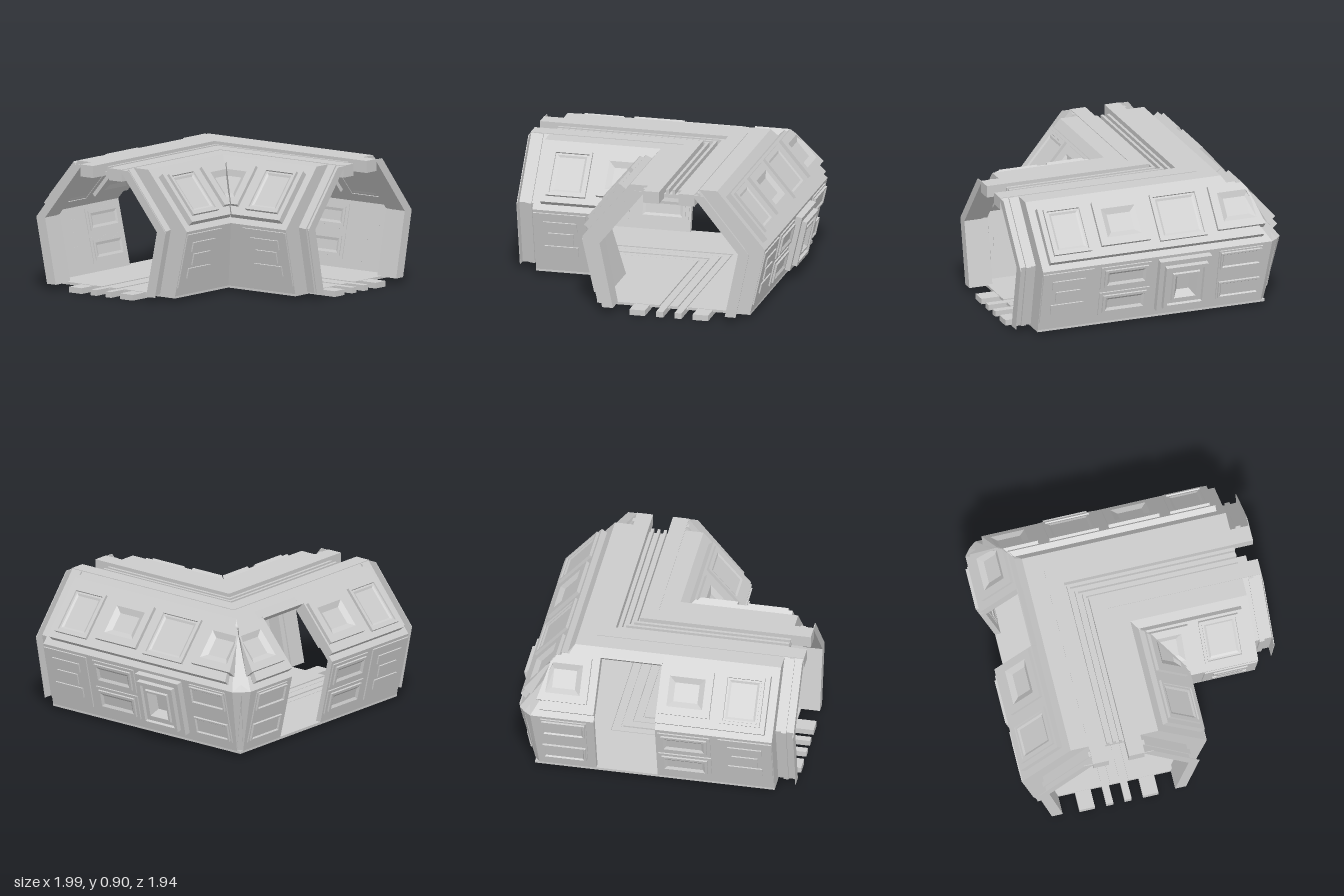
import * as THREE from 'three';

const CX = 0.27, CZ = -0.3;          // where the two corridor centrelines meet
const WALL = 1.095, END = 1.135, TIP = 1.27; // wall, bulkhead and frame ends along an arm
const DOOR = [-0.115, 0.315];        // doorway in the back wall
const mat = new THREE.MeshStandardMaterial({ color: 0xcccccc, flatShading: true, side: THREE.DoubleSide });

// Half cross-sections as [offset from centreline, height]
const OUT = [[0.545, 0.04], [0.65, 0.5], [0.31, 0.9]];      // outer wall surface
const SKIN = [[0.505, 0.04], [0.61, 0.5], [0.295, 0.865]];  // inner wall surface
const FRAME = [[0.41, 0.04], [0.505, 0.5], [0.18, 0.9]];    // opening of the end frames
const FACES = {
  outLow: [OUT[0], OUT[1], 1], outUp: [OUT[1], OUT[2], 1],
  inLow: [SKIN[0], SKIN[1], -1], inUp: [SKIN[1], SKIN[2], -1],
};
const mitre = (u) => -u;
const CHAMFER = [0.03, 0.09, 0];     // corner cut at the three outer points
const chamfered = (u, y) => {
  const i = OUT.findIndex(([a, b]) => Math.abs(a - u) < 1e-4 && Math.abs(b - y) < 1e-4);
  return -u + (i < 0 ? 0 : CHAMFER[i]);
};

// Arm coordinates (u, y, s) to model coordinates
const toModel = (arm, u, y, s) => (arm === 'z' ? [CX + u, y, CZ + s] : [CX - s, y, CZ - u]);

function addMesh(group, name, arm, triangles) {
  const pos = [];
  for (let i = 0; i < triangles.length; i += 3) {
    const [a, b, c] = triangles.slice(i, i + 3);
    for (const p of arm === 'x' ? [a, c, b] : [a, b, c]) pos.push(...toModel(arm, ...p));
  }
  const geo = new THREE.BufferGeometry();
  geo.setAttribute('position', new THREE.Float32BufferAttribute(pos, 3));
  geo.computeVertexNormals();
  const mesh = new THREE.Mesh(geo, mat);
  mesh.name = name;
  group.add(mesh);
}

// Cross-section run along an arm; the start may be a mitre rule
function prism(group, name, arm, profile, start, end, side = 1) {
  const shape = new THREE.Shape(profile.map(([u, y]) => new THREE.Vector2(u * side, y)));
  let geo = new THREE.ExtrudeGeometry(shape, { depth: 1, bevelEnabled: false });
  if (geo.index) geo = geo.toNonIndexed();
  const p = geo.attributes.position, tris = [];
  for (let i = 0; i < p.count; i++) {
    const u = p.getX(i), y = p.getY(i);
    const s = p.getZ(i) > 0.5 ? end : typeof start === 'function' ? start(u, y) : start;
    tris.push([u, y, s]);
  }
  addMesh(group, name, arm, tris);
}
const bar = (group, name, arm, u0, u1, y0, y1, end = TIP) =>
  prism(group, name, arm, [[u0, y0], [u1, y0], [u1, y1], [u0, y1]], mitre, end);

// Stepped rectangular panel on a wall face; rings are [inset, depth]
function panel(group, name, arm, face, side, [s0, s1], [y0, y1], rings) {
  const [a, b, facing] = FACES[face];
  const du = b[0] - a[0], dy = b[1] - a[1], len = Math.hypot(du, dy);
  const n = [dy / len * facing, -du / len * facing];
  const v0 = (y0 - a[1]) / dy * len, v1 = (y1 - a[1]) / dy * len;
  const loops = rings.map(([inset, depth]) => {
    const point = (s, v) => {
      const u = side * (a[0] + du * v / len + n[0] * depth);
      return [u, a[1] + dy * v / len + n[1] * depth, Math.max(s, -u + 0.005)];
    };
    const [l, r, d, t] = [s0 + inset, s1 - inset, v0 + inset, v1 - inset];
    const loop = [point(l, d), point(r, d), point(r, t), point(l, t)];
    return side * facing > 0 ? loop.reverse() : loop;
  });
  const tris = [];
  for (let i = 0; i + 1 < loops.length; i++) {
    for (let j = 0; j < 4; j++) {
      const k = (j + 1) % 4, p = loops[i], q = loops[i + 1];
      tris.push(p[j], p[k], q[k], p[j], q[k], q[j]);
    }
  }
  const c = loops[loops.length - 1];
  tris.push(c[0], c[1], c[2], c[0], c[2], c[3]);
  addMesh(group, name, arm, tris);
}

const BACKING = 0.045;               // depth of the plate behind the windows
const BIG = [[0, 0], [0, 0.065], [0.02, 0.065], [0.022, 0.055], [0.035, 0.055], [0.05, BACKING + 0.003]];
const SMALL = [[0, 0], [0, 0.07], [0.055, 0.07], [0.095, BACKING + 0.003]];
const SLAB = [[0, 0], [0, 0.01]];
const VENT = [[0, 0.01], [0, 0.024], [0.018, 0.024], [0.036, 0.012]];
const HATCH = [[0, 0], [0, 0.045], [0.035, 0.045], [0.035, 0.08], [0.06, 0.08],
  [0.065, 0.06], [0.09, 0.06], [0.095, 0.075], [0.11, 0.075], [0.145, 0.02]];
const shallow = (rings, k) => rings.map(([i, d]) => [i, d * k]);

// Lower wall panels from the open end to the corner
function lowerPanels(g, arm, face, side, k, slots) {
  const put = (name, s, y, rings) => panel(g, name, arm, face, side, s, y, shallow(rings, k));
  if (slots.includes(0)) {
    put('slatPlate', [0.755, 1.13], [0.1, 0.48], SLAB);
    for (const [s0, s1, y0, y1] of [[0.82, 1.06, 0.355, 0.42], [0.85, 1.03, 0.255, 0.335], [0.82, 1.06, 0.165, 0.235]])
      put('slat', [s0, s1], [y0, y1], [[0, 0.01], [0, 0.02]]);
  }
  if (slots.includes(1)) for (const y of [0.1, 0.3]) {
    put('ventPlate', [0.33, 0.7], [y, y + 0.175], SLAB);
    put('vent', [0.355, 0.675], [y + 0.02, y + 0.155], VENT);
  }
  if (slots.includes(2)) put('squareHatch', [-0.1, 0.28], [0.09, 0.48], HATCH);
  if (slots.includes(3)) {
    put('cornerPlate', [-0.49, -0.17], [0.1, 0.48], SLAB);
    for (const y of [0.115, 0.345])
      put('cornerFrame', [-0.48, -0.18], [y, y + 0.125], [[0, 0.01], [0, 0.026], [0.012, 0.026], [0.02, 0.016]]);
  }
}

// Sloped upper wall panels, alternating large and small windows
function upperPanels(g, arm, face, side, k, slots) {
  const spans = [[0.765, 1.045], [0.33, 0.69], [-0.09, 0.26], [-0.52, -0.17]];
  for (const i of slots) {
    panel(g, 'windowPanel', arm, face, side, spans[i], i % 2 ? [0.585, 0.83] : [0.57, 0.83],
      shallow(i % 2 ? SMALL : BIG, k));
  }
}

function buildArm(arm) {
  const g = new THREE.Group();
  g.name = arm === 'z' ? 'frontArm' : 'sideArm';

  // Thin walls; the back one is interrupted by a doorway under an eave
  const wall = [...OUT, [0.18, 0.9], [0.18, 0.865], ...[...SKIN].reverse()];
  prism(g, 'innerCornerWall', arm, wall, mitre, WALL, -1);
  if (arm === 'z') prism(g, 'outerWall', arm, wall, chamfered, WALL);
  else {
    prism(g, 'outerWallCorner', arm, wall, chamfered, DOOR[0]);
    prism(g, 'outerWallEnd', arm, wall, DOOR[1], WALL);
    prism(g, 'doorwayEave', arm, [[0.18, 0.865], [0.295, 0.865], [0.345, 0.825], [0.395, 0.87],
      [0.387, 0.879], [0.352, 0.85], [0.31, 0.9], [0.18, 0.9]], DOOR[0], DOOR[1]);
  }

  // Backing plates behind the windows
  const backing = (s, side) =>
    panel(g, 'windowBacking', arm, 'outUp', side, s, [0.535, 0.845], [[0, 0], [0, BACKING]]);
  const runs = arm === 'z' ? [[-0.5, 1.08]] : [[-0.5, DOOR[0]], [DOOR[1], 1.08]];
  for (const s of runs) backing(s, 1);
  backing([0.3, 1.08], -1);

  // Panels outside and inside
  const slots = arm === 'z' ? [0, 1, 2, 3] : [0, 1, 3];
  lowerPanels(g, arm, 'outLow', 1, 1, slots);
  upperPanels(g, arm, 'outUp', 1, 1, slots);
  lowerPanels(g, arm, 'inLow', 1, 0.5, slots);
  upperPanels(g, arm, 'inUp', 1, 0.4, slots);
  lowerPanels(g, arm, 'outLow', -1, 1, [0]);
  upperPanels(g, arm, 'outUp', -1, 1, [0, 1]);
  lowerPanels(g, arm, 'inLow', -1, 0.5, [0]);
  upperPanels(g, arm, 'inUp', -1, 0.4, [0]);

  // Bulkhead closing the wall end, then thin collar, raised band and flange
  for (const side of [1, -1]) {
    prism(g, 'bulkhead', arm, [...OUT, ...[...FRAME].reverse()], WALL, END, side);
    const ring = (name, inner, outer, s0, s1) => prism(g, name, arm,
      [...FRAME.map(([u, y]) => [u + inner, y]), ...FRAME.map(([u, y]) => [u + outer, y]).reverse()], s0, s1, side);
    ring('endCollar', -0.012, 0.003, END, TIP);
    ring('endBand', 0, 0.018, 1.175, 1.21);
    ring('endFlange', -0.012, 0.065, TIP - 0.005, TIP);
  }

  // Floor with a sunken centre strip, and the runners below it
  for (const [a, b] of [[-0.545, -0.1], [-0.03, 0.03], [0.1, 0.545]]) bar(g, 'floor', arm, a, b, 0.025, 0.043, END);
  bar(g, 'floorChannel', arm, -0.1, 0.1, 0.024, 0.033, END);
  for (const [a, b] of [[-0.28, -0.17], [-0.09, -0.04], [0.04, 0.09], [0.17, 0.28]])
    bar(g, 'floorRunner', arm, a, b, 0, 0.04);

  // Roof rails with a ribbed channel between
  bar(g, 'roofRail', arm, -0.182, -0.07, 0.82, 0.904);
  bar(g, 'roofRail', arm, 0.07, 0.182, 0.82, 0.904);
  bar(g, 'roofChannel', arm, -0.07, 0.07, 0.825, 0.85, END);
  for (const u of [-0.045, 0, 0.045]) bar(g, 'roofRib', arm, u - 0.01, u + 0.01, 0.85, 0.885, END);
  return g;
}

export function createModel() {
  const model = new THREE.Group();
  model.name = 'corridorCorner';
  model.add(buildArm('z'), buildArm('x'));

  // Bevel closing the outer corner between the arms
  const rows = OUT.map(([u, y], i) => [[u, y, -u + CHAMFER[i]], [u - CHAMFER[i], y, -u]]);
  const tris = [];
  for (let i = 0; i < 2; i++) {
    const [a, b] = rows[i], [c, d] = rows[i + 1];
    tris.push(a, b, d, a, d, c);
  }
  addMesh(model, 'cornerBevel', 'z', tris);
  return model;
}
